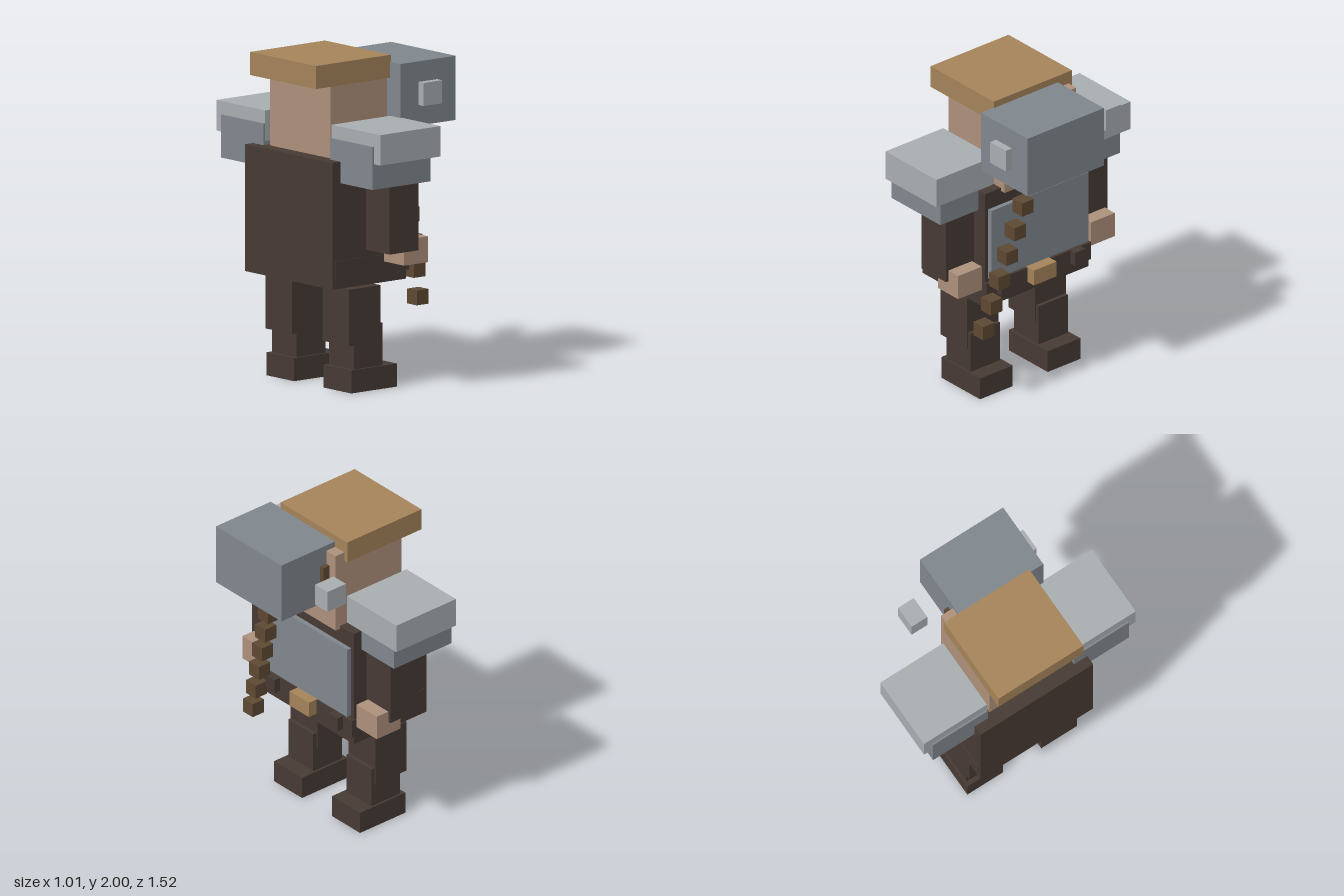
import * as THREE from 'three';

const mat = (name, color) => {
  const m = new THREE.MeshStandardMaterial({ color });
  m.name = name;
  return m;
};

export function createModel() {
  const leather = mat('dark leather', 0x473a34);
  const skin = mat('skin', 0xae917b);
  const steel = mat('steel', 0x80878d);
  const paleSteel = mat('pale steel', 0xa9aeb1);
  const wood = mat('brown wood', 0x5e4933);
  const gold = mat('gold', 0xa5845a);

  const model = new THREE.Group();
  model.name = 'blockWarrior';

  // Box given by its ranges along x, y and z
  const box = (name, material, [x0, x1], [y0, y1], [z0, z1]) => {
    const mesh = new THREE.Mesh(new THREE.BoxGeometry(x1 - x0, y1 - y0, z1 - z0), material);
    mesh.position.set((x0 + x1) / 2, (y0 + y1) / 2, (z0 + z1) / 2);
    mesh.name = name;
    model.add(mesh);
  };
  // The same box on both sides of the body
  const pair = (name, material, x, y, [z0, z1]) => {
    box(name + 'Near', material, x, y, [z0, z1]);
    box(name + 'Far', material, x, y, [-z1, -z0]);
  };

  // Head (the figure looks along +x)
  box('head', skin, [-0.37, 0.15], [1.40, 1.92], [-0.28, 0.28]);
  box('hair', gold, [-0.505, 0.08], [1.86, 2.0], [-0.305, 0.305]);
  pair('eye', wood, [0.13, 0.2], [1.675, 1.83], [0.08, 0.225]);

  // Torso, chest plate and belt
  box('torso', leather, [-0.46, 0.115], [0.65, 1.42], [-0.405, 0.405]);
  box('chestPlate', steel, [0.1, 0.145], [0.84, 1.31], [-0.38, 0.38]);
  box('belt', leather, [-0.44, 0.135], [0.705, 0.82], [-0.41, 0.41]);
  box('buckle', gold, [0.12, 0.195], [0.725, 0.825], [-0.088, 0.09]);
  box('buckleTab', wood, [0.12, 0.17], [0.7, 0.76], [-0.033, 0.033]);
  pair('beltPouch', leather, [0.12, 0.177], [0.73, 0.82], [0.247, 0.328]);

  // Shoulders, arms and hands
  pair('shoulderCap', paleSteel, [-0.385, 0.085], [1.445, 1.63], [0.308, 0.76]);
  pair('shoulderGuard', steel, [-0.397, 0.055], [1.29, 1.55], [0.31, 0.703]);
  pair('arm', leather, [-0.205, 0.022], [0.865, 1.42], [0.412, 0.632]);
  pair('hand', skin, [-0.075, 0.113], [0.78, 0.937], [0.428, 0.613]);

  // Legs and boots
  pair('thigh', leather, [-0.315, -0.07], [0.287, 0.63], [0.142, 0.388]);
  pair('shin', leather, [-0.272, -0.046], [0.13, 0.398], [0.152, 0.38]);
  pair('boot', leather, [-0.302, 0.055], [0, 0.14], [0.137, 0.393]);

  // Hammer head with a stud on each face
  box('hammerHead', steel, [0.073, 0.505], [1.567, 1.957], [-0.195, 0.402]);
  pair('hammerStud', paleSteel, [0.215, 0.36], [1.692, 1.832], [0.336, 0.449]);

  // Hammer handle: a slanted row of cubes
  const top = new THREE.Vector3(0.264, 1.495, 0.172);
  const bottom = new THREE.Vector3(0.164, 0.545, 0.455);
  for (let i = 0; i < 7; i++) {
    const { x, y, z } = top.clone().lerp(bottom, i / 6);
    const r = 0.045;
    box('handleBlock' + (i + 1), wood, [x - r, x + r], [y - r, y + r], [z - r, z + r]);
  }

  return model;
}
